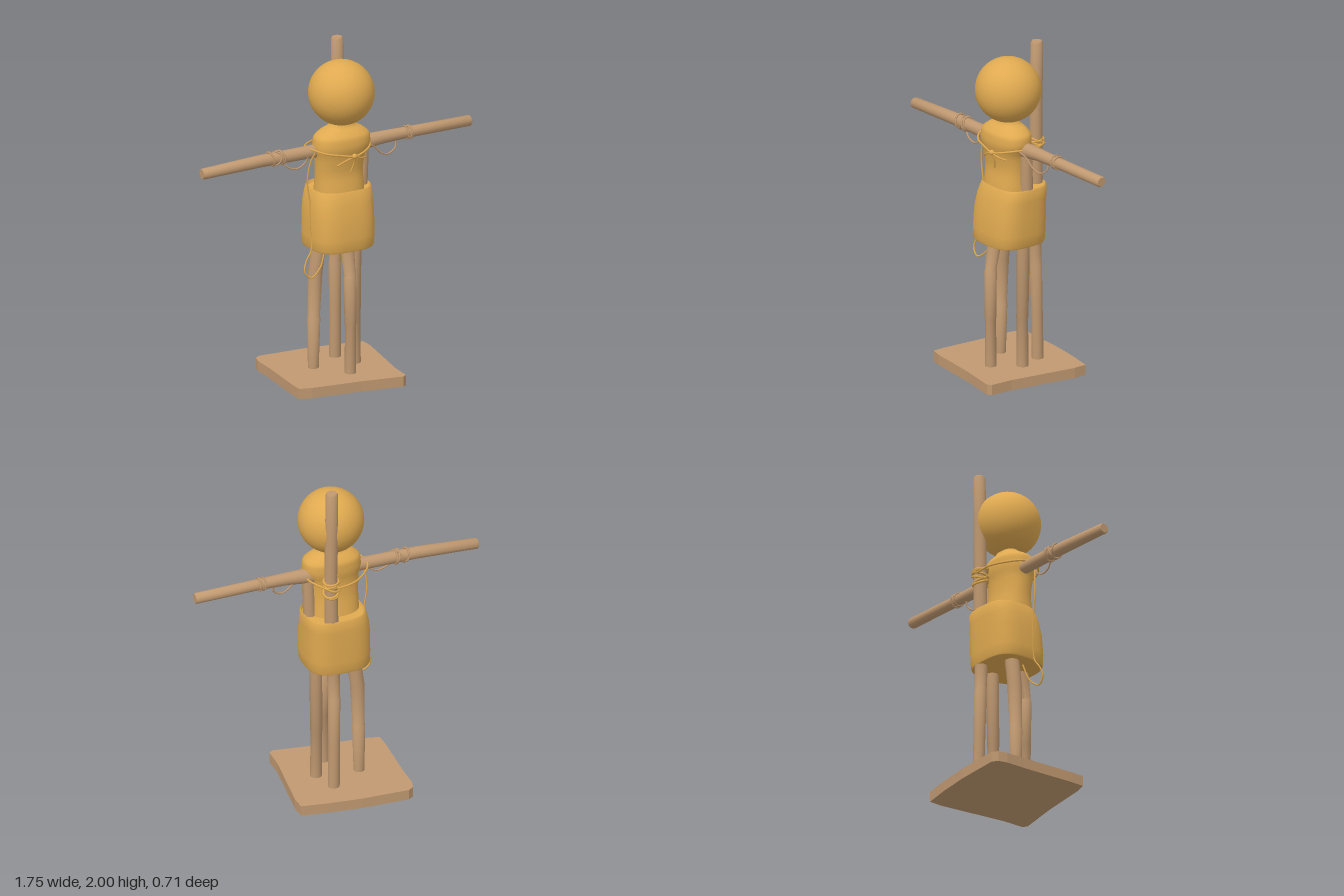
import * as THREE from 'three';
import { toCreasedNormals } from 'three/addons/utils/BufferGeometryUtils.js';

const gold = new THREE.MeshStandardMaterial({ color: 0xdfa950 });
gold.name = 'straw gold';
const wood = new THREE.MeshStandardMaterial({ color: 0xbf9870 });
wood.name = 'stick wood';

// Closed loft through horizontal superellipse rings: [y, centreX, centreZ, radiusX, radiusZ], bottom to top
function loft(rings, power = 2, sides = 32) {
  const pos = [], idx = [];
  const bend = v => Math.sign(v) * Math.pow(Math.abs(v), 2 / power);
  for (const [y, cx, cz, rx, rz] of rings) {
    for (let i = 0; i < sides; i++) {
      const a = i / sides * Math.PI * 2;
      pos.push(cx + rx * bend(Math.cos(a)), y, cz + rz * bend(Math.sin(a)));
    }
  }
  const n = rings.length, bottom = n * sides, top = bottom + 1, last = (n - 1) * sides;
  for (const r of [rings[0], rings[n - 1]]) pos.push(r[1], r[0], r[2]);
  for (let i = 0; i < sides; i++) {
    const j = (i + 1) % sides;
    for (let k = 0; k < n - 1; k++) {
      const a = k * sides + i, b = k * sides + j;
      idx.push(a, a + sides, b, b, a + sides, b + sides);
    }
    idx.push(bottom, i, j, top, last + j, last + i);
  }
  const geo = new THREE.BufferGeometry();
  geo.setAttribute('position', new THREE.Float32BufferAttribute(pos, 3));
  geo.setIndex(idx);
  return toCreasedNormals(geo, 0.75);
}

// Resample a few rings along a smooth curve
function smoothRings(rings, steps) {
  const path = new THREE.CatmullRomCurve3(rings.map(r => new THREE.Vector3(r[0], r[1], r[2])));
  const size = new THREE.CatmullRomCurve3(rings.map(r => new THREE.Vector3(r[3], r[4], 0)));
  return Array.from({ length: steps + 1 }, (_, i) => {
    const p = path.getPoint(i / steps), s = size.getPoint(i / steps);
    return [p.x, p.y, p.z, s.x, s.y];
  });
}

// Stick from points [along, centreX, centreZ, radius]
const stick = pts => loft(pts.map(([y, x, z, r]) => [y, x, z, r, r]), 2, 14);

function createModel() {
  const model = new THREE.Group();
  const add = (name, geo, mat) => {
    const mesh = new THREE.Mesh(geo, mat);
    mesh.name = name;
    model.add(mesh);
    return mesh;
  };
  const cord = (name, pts, mat, r = 0.005) => add(name, new THREE.TubeGeometry(
    new THREE.CatmullRomCurve3(pts.map(p => new THREE.Vector3(...p))), pts.length * 8, r, 6), mat);

  // Crooked wooden base plate
  const outline = [[-0.35, -0.28], [-0.335, -0.335], [-0.3, -0.358], [-0.02, -0.345], [0.18, -0.32],
    [0.34, -0.29], [0.343, -0.21], [0.28, 0.2], [0.275, 0.335], [0.25, 0.353], [0, 0.31],
    [-0.3, 0.275], [-0.375, 0.255], [-0.375, 0.17], [-0.352, -0.16]];
  const base = new THREE.ExtrudeGeometry(
    new THREE.Shape(outline.map(([x, z]) => new THREE.Vector2(x, -z))), { depth: 0.062, bevelEnabled: false });
  base.rotateX(-Math.PI / 2);
  add('base', base, wood);

  // Legs, slightly bent at the joints
  add('rightLeg', stick([[0.05, -0.125, -0.035, 0.031], [0.365, -0.122, -0.035, 0.038],
    [0.37, -0.122, -0.035, 0.035], [0.64, -0.113, -0.035, 0.042], [0.83, -0.085, -0.035, 0.042]]), wood);
  add('frontLeg', stick([[0.05, 0.018, 0.145, 0.033], [0.35, 0.017, 0.147, 0.032], [0.355, 0.017, 0.146, 0.034],
    [0.64, 0.015, 0.145, 0.036], [0.645, 0.015, 0.145, 0.033], [0.83, 0.012, 0.11, 0.042]]), wood);
  add('leftLeg', stick([[0.05, 0.127, 0, 0.034], [0.35, 0.125, 0, 0.033], [0.355, 0.125, 0, 0.035],
    [0.8, 0.13, -0.003, 0.037], [1.15, 0.168, 0.002, 0.036], [1.39, 0.175, 0.01, 0.034]]), wood);

  // Tall pole at the back
  add('backPole', stick([[0.05, 0.078, -0.147, 0.034], [0.35, 0.075, -0.143, 0.034], [0.64, 0.072, -0.137, 0.036],
    [0.645, 0.072, -0.136, 0.034], [0.8, 0.074, -0.13, 0.037], [1.15, 0.085, -0.128, 0.04],
    [1.45, 0.088, -0.126, 0.037], [1.7, 0.085, -0.13, 0.038], [1.99, 0.085, -0.135, 0.035],
    [2, 0.085, -0.135, 0.029]]), wood);

  // Arm stick, built upright and laid along x
  const arm = stick([[-0.875, -1.372, 0.007, 0.027], [-0.868, -1.372, 0.007, 0.032], [-0.5, -1.39, 0.016, 0.036],
    [-0.15, -1.393, 0.018, 0.038], [0.15, -1.39, 0.013, 0.046], [0.3, -1.4, 0.013, 0.037],
    [0.47, -1.402, 0.013, 0.033], [0.868, -1.402, 0.007, 0.032], [0.875, -1.402, 0.007, 0.027]]);
  arm.rotateZ(-Math.PI / 2);
  add('armStick', arm, wood);

  // Body, skirt and head
  add('torso', loft(smoothRings([[1.05, 0.01, 0.015, 0.155, 0.125], [1.16, 0.01, 0.022, 0.148, 0.11],
    [1.26, 0.008, 0.025, 0.145, 0.095], [1.35, 0.01, 0.032, 0.152, 0.1], [1.42, 0.018, 0.035, 0.175, 0.113],
    [1.47, 0.02, 0.033, 0.17, 0.11], [1.505, 0.022, 0.03, 0.13, 0.085], [1.53, 0.025, 0.028, 0.08, 0.06],
    [1.57, 0.025, 0.026, 0.06, 0.05]], 28), 2.3), gold);
  add('skirt', loft([[0.805, 0.01, 0.008, 0.187, 0.174], [0.815, 0.01, 0.008, 0.192, 0.178],
    [0.88, 0.012, 0.008, 0.195, 0.18], [1, 0.014, 0.002, 0.194, 0.176], [1.08, 0.018, -0.006, 0.189, 0.168],
    [1.145, 0.028, -0.015, 0.18, 0.158], [1.155, 0.028, -0.015, 0.174, 0.152],
    [1.14, 0.028, -0.015, 0.166, 0.144]], 3, 48), gold);
  const head = add('head', new THREE.SphereGeometry(0.191, 48, 32), gold);
  head.position.set(0.025, 1.722, 0.025);

  // Cord coils wound round the arms and pole
  const coil = (name, at, r, length, turns, vertical, mat, thick) => {
    const pts = [];
    for (let i = 0; i <= turns * 10; i++) {
      const a = i / 10 * Math.PI * 2, s = length * (0.5 * Math.sin(i * 0.23) + 0.1 * Math.sin(a));
      const c = r * Math.cos(a), d = r * Math.sin(a);
      pts.push(vertical ? [at[0] + c, at[1] + s, at[2] + d] : [at[0] + s, at[1] + c, at[2] + d]);
    }
    cord(name, pts, mat, thick);
  };
  coil('rightArmBinding', [-0.4, 1.392, 0.016], 0.04, 0.08, 4, false, wood, 0.006);
  coil('leftArmBinding', [0.465, 1.402, 0.012], 0.037, 0.035, 3, false, wood, 0.005);
  coil('poleBinding', [0.087, 1.37, -0.127], 0.043, 0.09, 6, true, gold, 0.007);

  // Hanging strings below the arms
  cord('rightArmString', [[-0.36, 1.355, 0.03], [-0.32, 1.325, 0.04], [-0.27, 1.313, 0.04], [-0.22, 1.34, 0.04],
    [-0.2, 1.39, 0.05]], wood);
  cord('leftArmString', [[0.18, 1.39, 0.06], [0.22, 1.37, 0.05], [0.28, 1.315, 0.04], [0.33, 1.3, 0.03],
    [0.38, 1.33, 0.02], [0.385, 1.37, 0.01]], wood);

  // Chest cord running round the shoulders to the pole, tied in front
  cord('chestCord', [[0.06, 1.38, -0.17], [-0.04, 1.39, -0.16], [-0.13, 1.4, -0.1], [-0.18, 1.41, -0.03],
    [-0.175, 1.415, 0.07], [-0.12, 1.4, 0.13], [-0.04, 1.385, 0.15], [0.04, 1.37, 0.156],
    [0.11, 1.385, 0.145], [0.17, 1.4, 0.1], [0.195, 1.4, 0.03], [0.185, 1.39, -0.05], [0.12, 1.38, -0.165]], gold, 0.006);
  const knot = add('chestKnot', new THREE.SphereGeometry(0.016, 12, 8), gold);
  knot.position.set(0.04, 1.37, 0.155);
  cord('rightCordTail', [[0.04, 1.37, 0.157], [-0.02, 1.345, 0.147], [-0.06, 1.32, 0.132]], gold);
  cord('middleCordTail', [[0.04, 1.37, 0.157], [0.045, 1.33, 0.142], [0.03, 1.27, 0.128]], gold);
  cord('leftCordTail', [[0.04, 1.37, 0.157], [0.09, 1.35, 0.142], [0.13, 1.34, 0.12]], gold);

  // Long cord down the right side ending in a loop
  cord('sideCord', [[-0.17, 1.4, 0.07], [-0.19, 1.34, 0.05], [-0.205, 1.22, 0.04], [-0.19, 1.1, 0.04],
    [-0.188, 0.95, 0.04], [-0.185, 0.81, 0.05], [-0.225, 0.745, 0.06], [-0.238, 0.69, 0.07],
    [-0.2, 0.65, 0.075], [-0.13, 0.7, 0.06], [-0.09, 0.81, 0.04]], gold);

  return model;
}

export { createModel };
